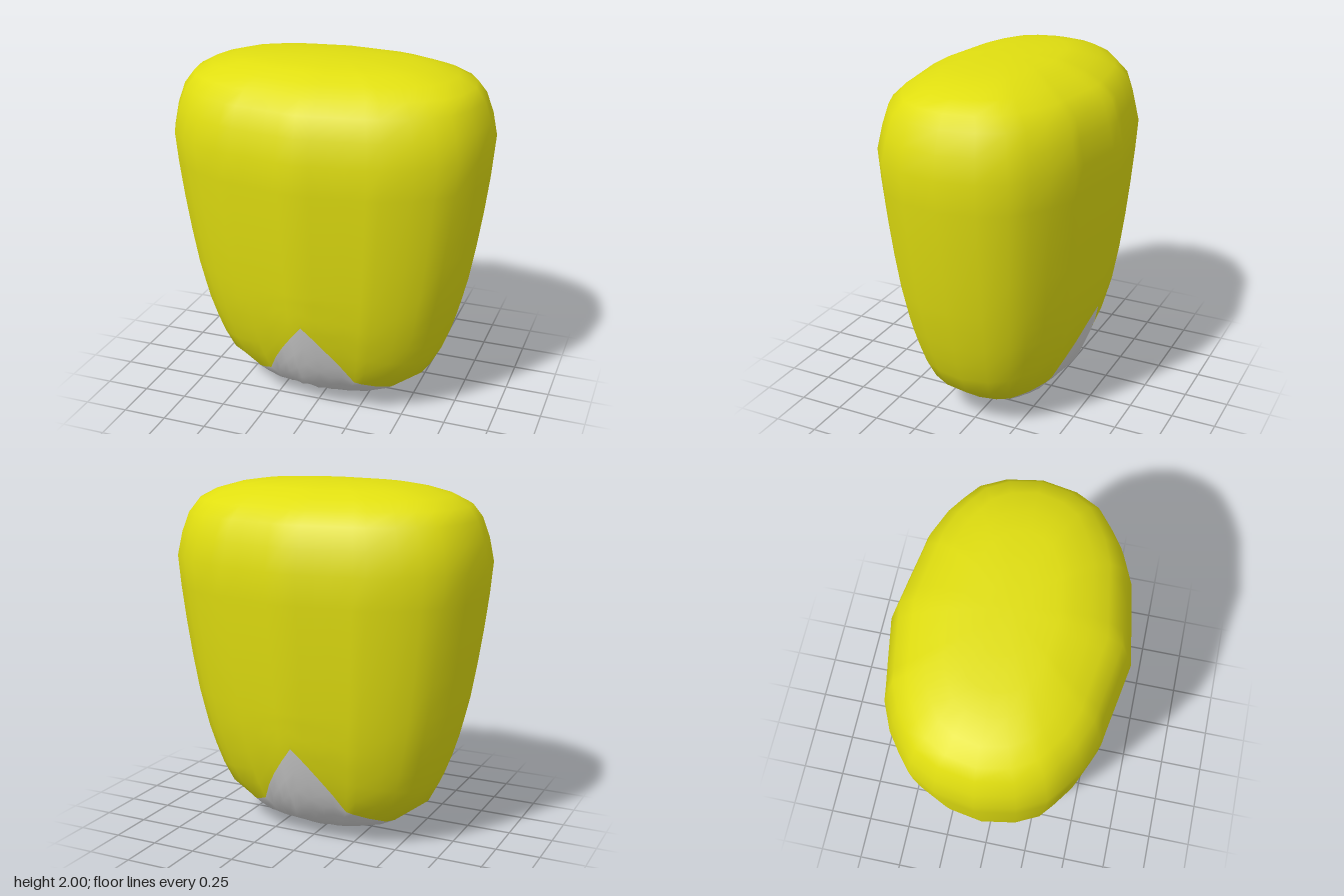
import * as THREE from 'three';

// Profile of the body: [height, half width, half depth]
const PROFILE = [
  [0, 0, 0], [0.03, 0.25, 0.16], [0.1, 0.44, 0.3], [0.22, 0.6, 0.4],
  [0.38, 0.68, 0.47], [0.59, 0.745, 0.53], [0.8, 0.795, 0.565], [1, 0.83, 0.59],
  [1.2, 0.86, 0.61], [1.4, 0.885, 0.627], [1.57, 0.9, 0.638], [1.7, 0.875, 0.605],
  [1.81, 0.835, 0.57], [1.88, 0.785, 0.49], [1.93, 0.69, 0.4], [1.965, 0.56, 0.31],
  [1.983, 0.44, 0.24], [1.995, 0.26, 0.13], [2, 0, 0],
];

// Quarter outline of the cross-section, from the front ridge to the side
const QUARTER = [
  [0, 1], [0.1, 0.976], [0.2, 0.953], [0.3, 0.929], [0.42, 0.9], [0.5, 0.883],
  [0.67, 0.78], [0.78, 0.67], [0.88, 0.555], [0.96, 0.328], [1, 0],
];

// Half width and half depth at any height
function sizeAt(y) {
  let i = 1;
  while (i < PROFILE.length - 1 && PROFILE[i][0] < y) i++;
  const [y0, w0, d0] = PROFILE[i - 1];
  const [y1, w1, d1] = PROFILE[i];
  const t = (y - y0) / (y1 - y0);
  return [w0 + (w1 - w0) * t, d0 + (d1 - d0) * t];
}

// Height of the colour edge: a peak at front and back, low at the sides
function edgeHeight(u) {
  return u <= 0.42 ? 0.6 - (0.38 * u) / 0.42 : 0.22 - (0.12 * (u - 0.42)) / 0.58;
}

// Full cross-section, mirrored from the quarter, running front, left, back, right
function makeOutline() {
  const half = [...QUARTER, ...QUARTER.slice(0, -1).reverse().map(([x, z]) => [x, -z])];
  const other = half.slice(1, -1).reverse().map(([x, z]) => [-x, z]);
  return [...half, ...other];
}

export function createModel() {
  const yellow = new THREE.MeshStandardMaterial({ color: 0xe0de10 });
  yellow.name = 'yellow';
  const grey = new THREE.MeshStandardMaterial({ color: 0xd2d2d2 });
  grey.name = 'grey';

  const outline = makeOutline();
  const n = outline.length;
  const GREY_ROWS = 8;
  const BLEND_ROWS = 6;
  const upper = PROFILE.map((p) => p[0]).filter((y) => y > 0.8 && y < 2);
  const rows = GREY_ROWS + BLEND_ROWS + upper.length; // rings between the two poles

  // Ring heights follow the colour edge below and level out above
  const heightOf = (row, edge) => {
    if (row <= GREY_ROWS) return edge * (row / GREY_ROWS) ** 2;
    const k = row - GREY_ROWS;
    return k <= BLEND_ROWS ? edge + ((0.8 - edge) * k) / BLEND_ROWS : upper[k - BLEND_ROWS - 1];
  };

  const positions = [0, 0, 0];
  for (let row = 1; row <= rows; row++) {
    for (const [u, v] of outline) {
      const y = heightOf(row, edgeHeight(Math.abs(u)));
      const [w, d] = sizeAt(y);
      positions.push(u * w, y, v * d);
    }
  }
  positions.push(0, 2, 0);

  // Shared vertices keep the shading smooth across the colour edge
  const id = (row, j) =>
    row === 0 ? 0 : row > rows ? 1 + rows * n : 1 + (row - 1) * n + (j % n);
  const indices = [];
  let greyCount = 0;
  for (let row = 0; row <= rows; row++) {
    for (let j = 0; j < n; j++) {
      const a = id(row, j), b = id(row, j + 1);
      const c = id(row + 1, j), d = id(row + 1, j + 1);
      if (row > 0) indices.push(a, b, d);
      if (row < rows) indices.push(a, d, c);
    }
    if (row === GREY_ROWS - 1) greyCount = indices.length;
  }

  const geometry = new THREE.BufferGeometry();
  geometry.setAttribute('position', new THREE.Float32BufferAttribute(positions, 3));
  geometry.setIndex(indices);
  geometry.addGroup(0, greyCount, 0);
  geometry.addGroup(greyCount, indices.length - greyCount, 1);
  geometry.computeVertexNormals();

  const body = new THREE.Mesh(geometry, [grey, yellow]);
  body.name = 'roundedBody';

  const model = new THREE.Group();
  model.name = 'model';
  model.add(body);
  return model;
}
